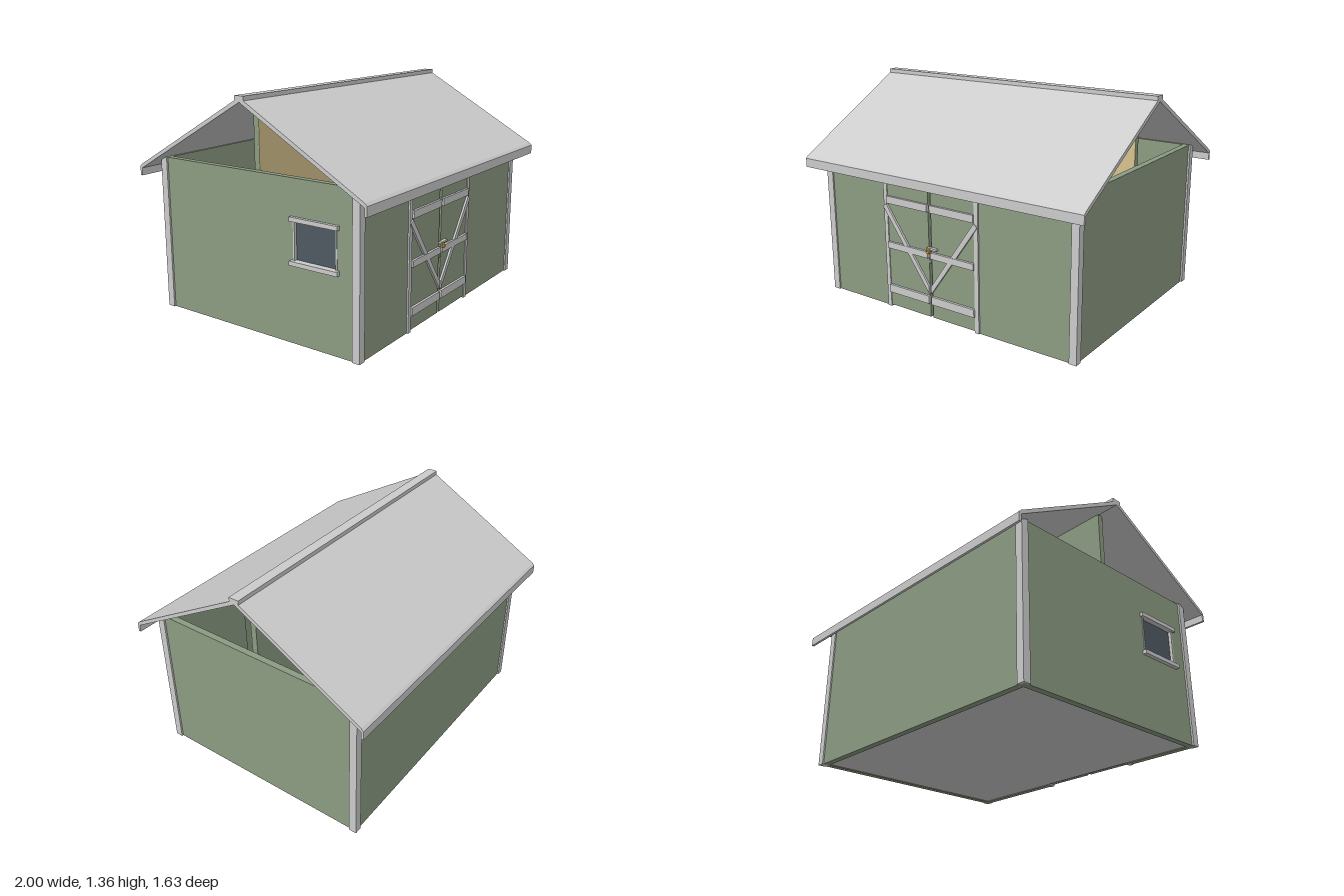
import * as THREE from 'three';

const grey = new THREE.MeshStandardMaterial({ color: 0xcccccc });
const green = new THREE.MeshStandardMaterial({ color: 0x8c9b82 });
const tan = new THREE.MeshStandardMaterial({ color: 0xd8c490 });
const brass = new THREE.MeshStandardMaterial({ color: 0xd8a830 });
const glass = new THREE.MeshStandardMaterial({ color: 0x505a62 });

// Box given by its limits on each axis
function box(parent, name, mat, [x0, x1], [y0, y1], [z0, z1]) {
  const mesh = new THREE.Mesh(new THREE.BoxGeometry(x1 - x0, y1 - y0, z1 - z0), mat);
  mesh.position.set((x0 + x1) / 2, (y0 + y1) / 2, (z0 + z1) / 2);
  mesh.name = name;
  parent.add(mesh);
  return mesh;
}

function outline(points) {
  return new THREE.Shape(points.map(([x, y]) => new THREE.Vector2(x, y)));
}

function rect(x0, x1, y0, y1) {
  return outline([[x0, y0], [x1, y0], [x1, y1], [x0, y1]]);
}

function extrude(parent, name, mat, shape, depth) {
  const geo = new THREE.ExtrudeGeometry(shape, { depth, bevelEnabled: false });
  const mesh = new THREE.Mesh(geo, mat);
  mesh.name = name;
  parent.add(mesh);
  return mesh;
}

export function createModel() {
  const shed = new THREE.Group();
  shed.name = 'shed';
  const W = 0.91, D = 0.71, H = 0.94, T = 0.04;

  // Floor and plain walls
  box(shed, 'floor', grey, [-W + T, W - T], [0.005, 0.025], [-D + T, D - T]);
  box(shed, 'backWall', green, [-W, W], [0, H], [-D, -D + T]);
  box(shed, 'rightViewWall', green, [W - T, W], [0, H], [-D + T, D - T]).name = 'leftWall';

  // Front wall with the doorway
  const front = outline([[-W, 0], [-0.41, 0], [-0.41, 0.82], [0.245, 0.82],
    [0.245, 0], [W, 0], [W, H], [-W, H]]);
  extrude(shed, 'frontWall', green, front, T).position.z = D - T;

  // Side wall with the window
  const side = rect(-D + T, D - T, 0, H);
  side.holes.push(rect(0.28, 0.57, 0.48, 0.71));
  const sideWall = extrude(shed, 'rightWall', green, side, T);
  sideWall.rotation.y = -Math.PI / 2;
  sideWall.position.x = -W + T;

  const win = new THREE.Group();
  win.name = 'window';
  shed.add(win);
  box(win, 'windowPane', glass, [-W + 0.015, -W + 0.025], [0.48, 0.71], [0.28, 0.57]);
  box(win, 'windowHead', grey, [-W - 0.02, -W + 0.03], [0.705, 0.73], [0.265, 0.585]);
  box(win, 'windowSill', grey, [-W - 0.025, -W + 0.03], [0.46, 0.485], [0.265, 0.585]);
  for (const z of [0.28, 0.56]) {
    box(win, 'windowJamb', grey, [-W - 0.004, -W + 0.03], [0.485, 0.705], [z, z + 0.01]);
  }

  // Corner posts
  for (const sx of [-1, 1]) {
    for (const sz of [-1, 1]) {
      const post = box(shed, 'cornerPost', grey, [-0.0235, 0.0235], [0, H], [-0.0235, 0.0235]);
      post.position.x = sx * 0.8975;
      post.position.z = sz * 0.6955;
    }
  }

  // Dividing wall under the ridge, panelled on its front
  box(shed, 'dividingWall', green, [-W + T, W - T], [0.025, 1.315], [-0.018, 0.014]);
  box(shed, 'wallPanel', tan, [-W + T, W - T], [0.36, 1.31], [0.014, 0.018]);

  // Roof slopes with turned-down eaves
  const slope = [[0, 1.352], [0.8, 0.9], [0.815, 0.885], [0.815, 0.83],
    [0.8, 0.83], [0.8, 0.875], [0, 1.325]];
  for (const s of [-1, 1]) {
    const roof = extrude(shed, s > 0 ? 'frontRoof' : 'backRoof', grey,
      outline(slope.map(([z, y]) => [s * z, y])), 2);
    roof.rotation.y = -Math.PI / 2;
    roof.position.x = 1;
  }
  box(shed, 'ridgeCap', grey, [-1, 1], [1.335, 1.36], [-0.032, 0.032]);

  // Double door
  const door = new THREE.Group();
  door.name = 'doubleDoor';
  door.position.x = -0.0825;
  shed.add(door);
  for (const s of [-1, 1]) {
    const leaf = new THREE.Group();
    leaf.name = s > 0 ? 'leftLeaf' : 'rightLeaf';
    door.add(leaf);
    const span = (a, b) => (s > 0 ? [a, b] : [-b, -a]);
    box(leaf, 'doorPanel', green, span(0.01, 0.327), [0.01, 0.815], [0.685, 0.715]);
    for (const [y0, y1] of [[0.1, 0.15], [0.39, 0.43], [0.675, 0.72]]) {
      box(leaf, 'doorRail', grey, span(0.01, 0.327), [y0, y1], [0.715, 0.73]);
    }
    const brace = [[0.008, 0.165], [0.355, 0.65], [0.33, 0.67], [0.008, 0.213]];
    extrude(leaf, 'doorBrace', grey,
      outline(brace.map(([x, y]) => [s * x, y])), 0.013).position.z = 0.715;
    box(leaf, 'doorFrame', grey, span(0.327, 0.355), [0, H - 0.02], [0.68, 0.72]);
  }

  // Latch and handle
  box(door, 'lowerCatch', green, [-0.01, 0.01], [0.36, 0.38], [0.7, 0.72]);
  box(door, 'lockPlate', brass, [-0.01, 0.016], [0.425, 0.455], [0.73, 0.74]);
  const knob = new THREE.Mesh(new THREE.CylinderGeometry(0.01, 0.01, 0.012, 16), brass);
  knob.name = 'lockKnob';
  knob.rotation.x = Math.PI / 2;
  knob.position.set(0.003, 0.436, 0.743);
  door.add(knob);
  box(door, 'latchBolt', grey, [-0.012, 0.06], [0.448, 0.46], [0.715, 0.735]);

  return shed;
}
